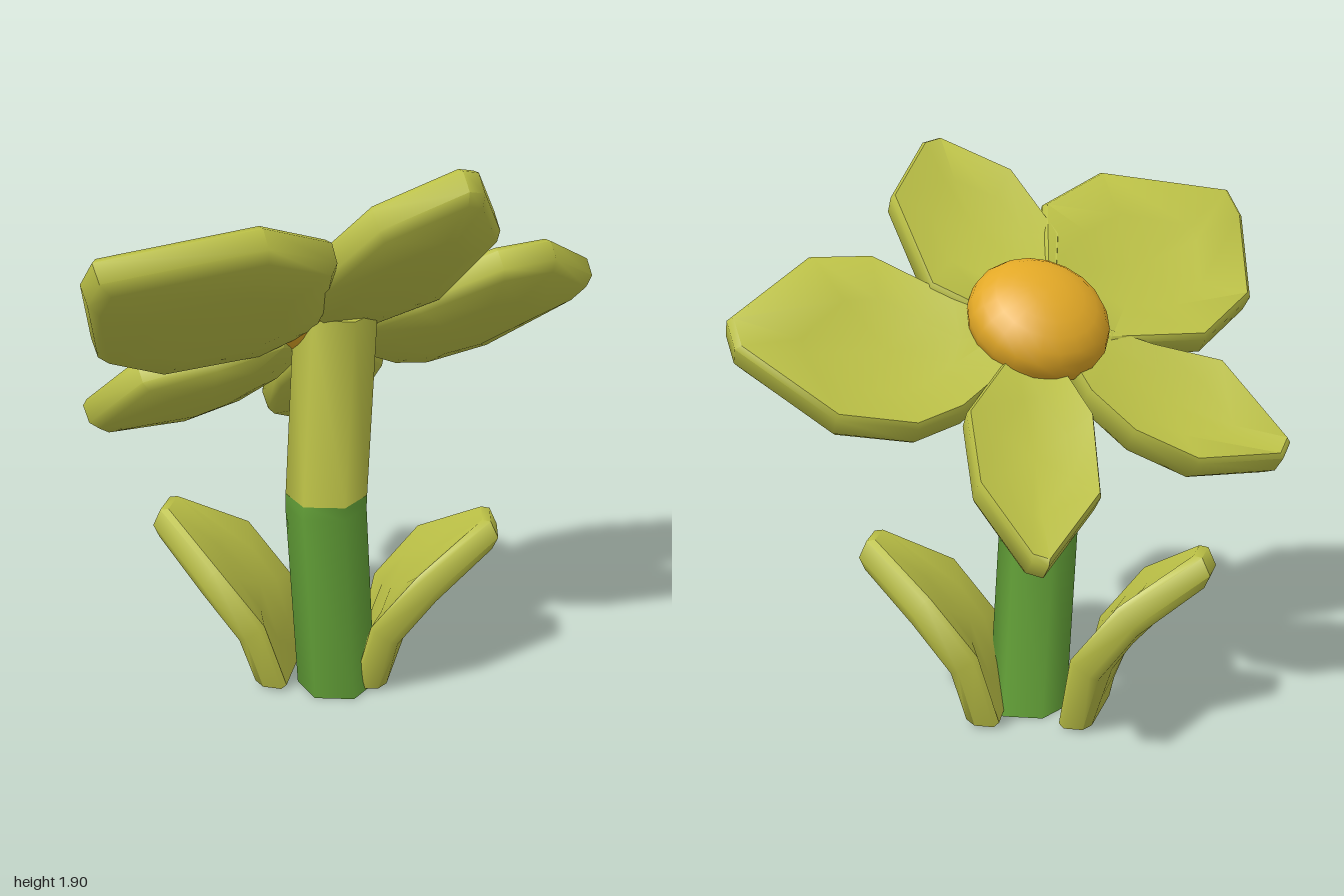
import * as THREE from 'three';
import { toCreasedNormals } from 'three/addons/utils/BufferGeometryUtils.js';

const V = (x, y, z) => new THREE.Vector3(x, y, z);

// Closed skin over a stack of rings, with a centre point capping each end
function loft(rings, start, end, crease) {
  const n = rings[0].length;
  const points = [...rings.flat(), start, end];
  const s = points.length - 2, e = points.length - 1, last = (rings.length - 1) * n;
  const index = [];
  for (let i = 0; i < n; i++) {
    const k = (i + 1) % n;
    for (let r = 0; r < rings.length - 1; r++) {
      const a = r * n + i, b = r * n + k;
      index.push(a, a + n, b + n, a, b + n, b);
    }
    index.push(s, i, k, e, last + k, last + i);
  }
  const g = new THREE.BufferGeometry().setFromPoints(points);
  g.setIndex(index);
  return toCreasedNormals(g, crease);
}

// Thick cupped blade: outline in (a, b), placed by map(a, b, height)
function blade(outline, map) {
  const ca = outline.reduce((t, p) => t + p[0], 0) / outline.length;
  const cb = outline.reduce((t, p) => t + p[1], 0) / outline.length;
  const profile = [[0.55, -0.085], [0.93, -0.064], [1, -0.035], [1.01, 0.03], [0.97, 0.048], [0.55, 0.026]];
  const rings = profile.map(([s, h]) =>
    outline.map(([a, b]) => map(ca + (a - ca) * s, cb + (b - cb) * s, h)));
  return loft(rings, map(ca, cb, -0.09), map(ca, cb, 0.02), 1.0);
}

export function createModel() {
  const group = new THREE.Group();
  const petalMat = new THREE.MeshStandardMaterial({ color: 0xbbc046 });
  petalMat.name = 'yellowGreen';
  const stemMat = new THREE.MeshStandardMaterial({ color: 0x629f37 });
  stemMat.name = 'stemGreen';
  const discMat = new THREE.MeshStandardMaterial({ color: 0xe2a826 });
  discMat.name = 'orange';

  const add = (name, geometry, material) => {
    const mesh = new THREE.Mesh(geometry, material);
    mesh.name = name;
    group.add(mesh);
    return mesh;
  };

  // Bent six-sided stem in two colours
  const ring = (c) => Array.from({ length: 6 }, (_, i) => {
    const t = Math.PI / 4 + (i / 6) * Math.PI * 2;
    return V(c.x + 0.135 * Math.cos(t), c.y, c.z + 0.135 * Math.sin(t));
  });
  const foot = V(0.02, 0, 0.03), bend = V(-0.06, 0.7, 0.065);
  const split = V(-0.058, 0.745, 0.065), neck = V(0.005, 1.355, 0.04);
  add('lowerStem', loft([foot, bend, split].map(ring), foot, split, 1.1), stemMat);
  add('upperStem', loft([split, neck].map(ring), split, neck, 1.1), petalMat);

  // Petals lie on one tilted plane, outlined in plan (x, z), and sag along their length
  const normal = V(0.2, 1, -0.8).normalize();
  const petals = {
    frontPetal: [[-0.05, 0.645], [-0.24, 0.48], [-0.26, 0.23], [-0.1, 0.04], [0.14, 0.04],
      [0.285, 0.21], [0.235, 0.51], [0.015, 0.645]],
    rightPetal: [[-0.985, 0.165], [-0.965, 0.07], [-0.78, -0.17], [-0.52, -0.23], [-0.18, -0.14],
      [-0.05, 0], [-0.12, 0.13], [-0.28, 0.345], [-0.57, 0.385]],
    leftPetal: [[0.99, 0.2], [0.97, 0.285], [0.6, 0.43], [0.4, 0.385], [0.22, 0.17],
      [0.08, 0], [0.2, -0.1], [0.4, -0.14], [0.57, -0.14], [0.8, -0.05]],
    backRightPetal: [[-0.53, -0.62], [-0.47, -0.65], [-0.2, -0.55], [-0.06, -0.4], [0, -0.25],
      [0, -0.08], [-0.13, -0.06], [-0.32, -0.19], [-0.515, -0.32]],
    backLeftPetal: [[0.46, -0.64], [0.5, -0.61], [0.515, -0.37], [0.41, -0.17], [0.15, -0.06],
      [0.04, -0.1], [0.03, -0.31], [0.17, -0.52]],
  };
  for (const [name, outline] of Object.entries(petals)) {
    const reach = Math.max(...outline.map(([x, z]) => Math.hypot(x, z)));
    const depth = name === 'leftPetal' ? 0.22 : 0.12;
    add(name, blade(outline, (x, z, h) => {
      const t = Math.min(1, Math.hypot(x, z) / reach);
      return V(x, 1.35 - 0.2 * x + 0.8 * z - depth * t * (1 - t), z).addScaledVector(normal, h);
    }), petalMat);
  }

  // Domed flower centre
  const disc = add('flowerCentre', new THREE.SphereGeometry(1, 20, 12), discMat);
  disc.scale.set(0.235, 0.145, 0.24);
  disc.quaternion.setFromUnitVectors(V(0, 1, 0), normal);
  disc.position.set(0.03, 1.355, -0.045);

  // Leaves at the foot, curving outward as they rise
  const leafOutline = [[-0.14, 0.01], [0.14, 0.01], [0.22, 0.25], [0.22, 0.44],
    [0.06, 0.585], [-0.06, 0.585], [-0.22, 0.44], [-0.22, 0.25]];
  const leaf = (name, bx, bz, angle) => {
    const out = V(Math.cos(angle), 0, Math.sin(angle));
    const side = V(out.z, 0, -out.x);
    add(name, blade(leafOutline, (u, v, h) => {
      const inward = V(0, 3 * v, 0).sub(out).normalize();
      return V(bx, v, bz).addScaledVector(side, u)
        .addScaledVector(out, 0.4 * v * v + 1.4 * v ** 3).addScaledVector(inward, h);
    }), petalMat);
  };
  leaf('leftLeaf', 0.16, 0.05, Math.PI / 4);
  leaf('backLeaf', -0.07, -0.16, Math.PI + 0.92);

  return group;
}
